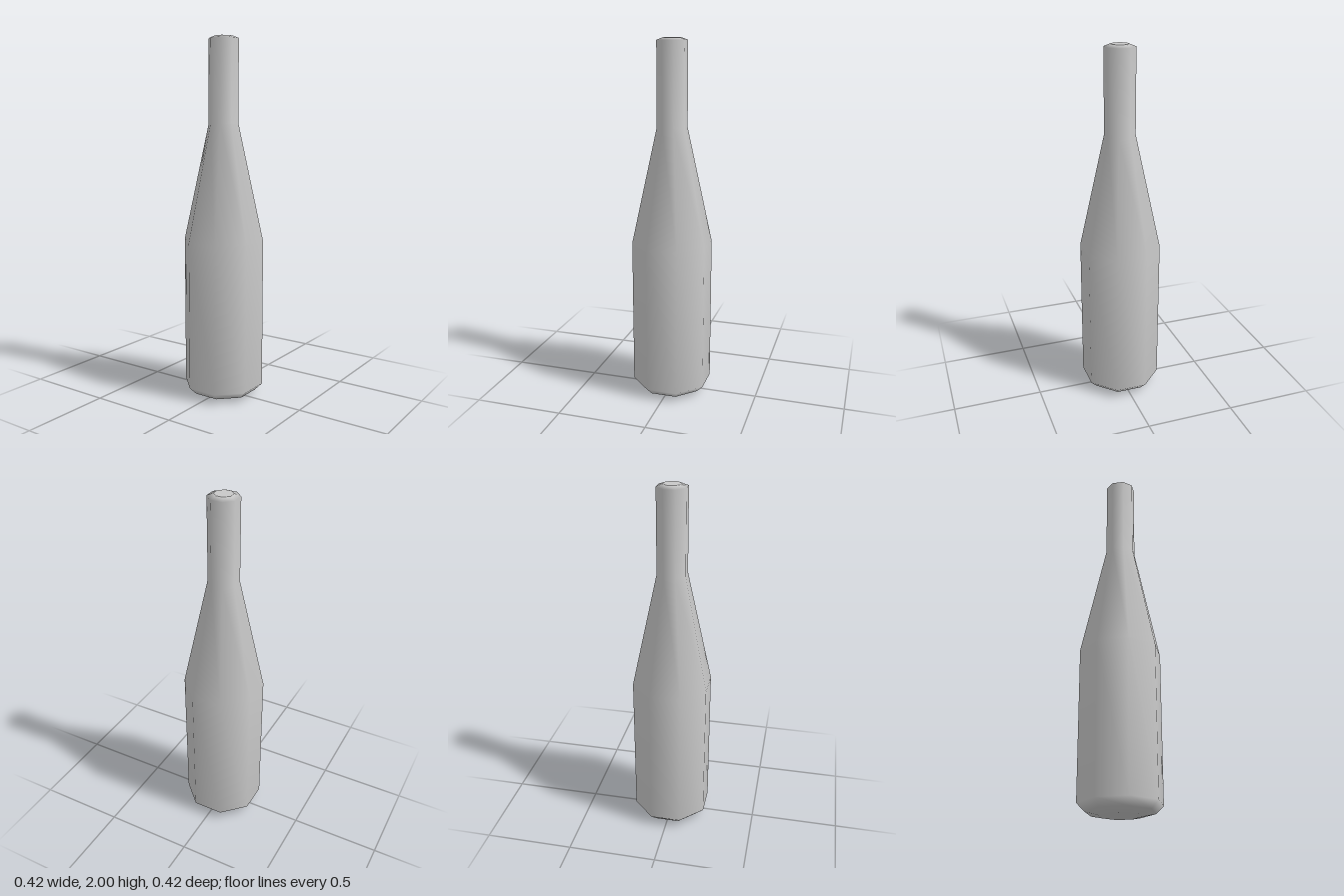
import * as THREE from 'three';

const SIDES = 8;
const TURN = Math.PI / SIDES; // flat sides face the axes

export function createModel() {
  const bottle = new THREE.Group();
  bottle.name = 'bottle';
  const grey = new THREE.MeshStandardMaterial({ color: 0xc8c8c8 });
  grey.name = 'light grey';

  // Smooth eight-sided wall: corner radius, height
  const profile = [
    [0.109, 0], [0.184, 0.017], [0.225, 0.057], // bevelled foot
    [0.225, 0.885], // shoulder
    [0.084, 1.53], [0.084, 1.987], // neck
    [0.05, 2], // rim
  ].map(([r, y]) => new THREE.Vector2(r, y));
  const wall = new THREE.Mesh(new THREE.LatheGeometry(profile, SIDES, TURN), grey);
  wall.name = 'bottleWall';
  bottle.add(wall);

  // Flat octagonal ends with hard edges
  const addEnd = (name, radius, y, tilt) => {
    const geometry = new THREE.CircleGeometry(radius, SIDES, TURN).rotateX(tilt);
    const end = new THREE.Mesh(geometry, grey);
    end.name = name;
    end.position.y = y;
    bottle.add(end);
  };
  addEnd('topCap', 0.05, 2, -Math.PI / 2);
  addEnd('base', 0.109, 0, Math.PI / 2);

  return bottle;
}
